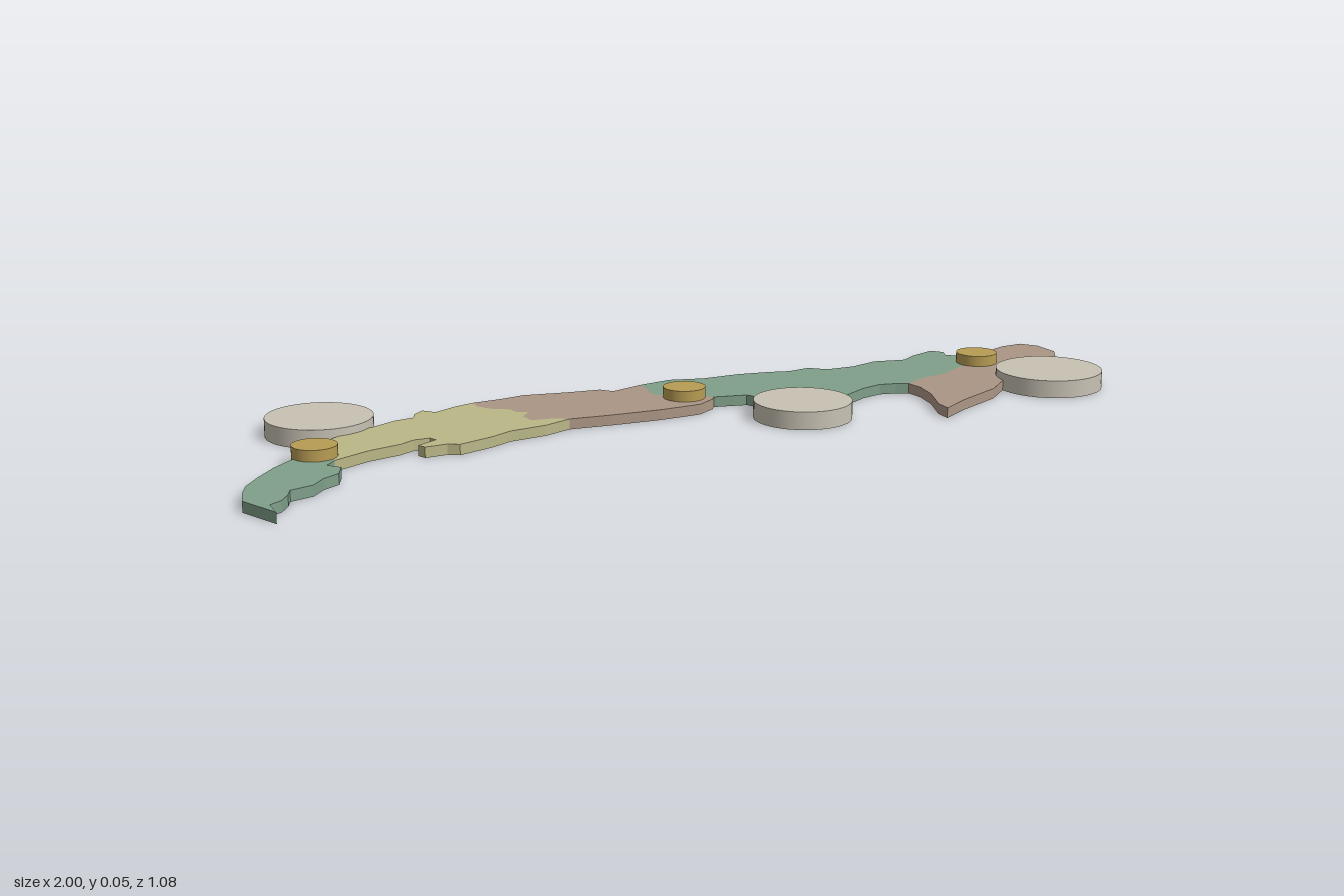
import * as THREE from 'three';

const material = (name, color) => {
  const m = new THREE.MeshStandardMaterial({ color });
  m.name = name;
  return m;
};

export function createModel() {
  const group = new THREE.Group();
  const green = material('sage green', 0x7f9f89);
  const olive = material('pale olive', 0xbab788);
  const tan = material('dusty tan', 0xab9685);
  const stone = material('stone grey', 0xc8c2b4);
  const gold = material('muted gold', 0xb89c54);

  // flat plate from an outline of x, z pairs in hundredths
  const plate = (name, mat, outline) => {
    const points = [];
    for (let i = 0; i < outline.length; i += 2) {
      points.push(new THREE.Vector2(outline[i] / 100, -outline[i + 1] / 100));
    }
    const geo = new THREE.ExtrudeGeometry(new THREE.Shape(points), { depth: 0.022, bevelEnabled: false });
    geo.rotateX(-Math.PI / 2);
    const mesh = new THREE.Mesh(geo, mat);
    mesh.name = name;
    group.add(mesh);
  };

  // upright disc standing on the ground
  const disc = (name, mat, x, z, radius, height) => {
    const mesh = new THREE.Mesh(new THREE.CylinderGeometry(radius, radius, height, 48), mat);
    mesh.position.set(x, height / 2, z);
    mesh.name = name;
    group.add(mesh);
  };

  // borders shared by neighbouring plates, listed from back to front
  const reversed = (a) => {
    const out = [];
    for (let i = a.length - 2; i >= 0; i -= 2) out.push(a[i], a[i + 1]);
    return out;
  };
  const borderAB = [-71, -29, -70, -24, -72, -19.5];
  const borderBC = [-45, -33.5, -46, -30, -44, -27, -43.3, -23, -45, -20.5, -49, -18.3];
  const borderCD = [-24.5, -32.5, -26, -30, -25.5, -26.5, -23, -23, -23.5, -20.5, -22, -18.5,
    -25, -17, -26, -13.5, -21.5, -11, -20, -8.5];
  const borderDE = [10.5, -17.5, 9, -14, 7, -11.5, 6.5, -8, 11, -5, 13.5, 1];
  const borderEF = [49, 3, 49.5, 5, 48.5, 8, 44.5, 12.5, 39, 14, 35, 17, 34, 20.5];
  const borderFG = [51, 24, 56, 23.2, 64, 24.3, 70, 23, 77, 23.5, 82, 21, 86, 18.7];

  // plates along the chain
  plate('westTipPlate', green, [-100, -1, -100, -11, -97, -15, -94, -18, -89, -21, -83, -24, -77, -26,
    ...borderAB, -75, -18, -74, -15, -77, -12, -81, -11.5, -85, -9.5, -90, -10, -92, -8, -95, -6, -98, -5.5]);
  plate('westPlate', olive, [...reversed(borderAB), -64, -32, -57, -33, -51, -33,
    ...borderBC, -52, -19.5, -56, -19, -63, -20]);
  plate('innerWestPlate', olive, [...reversed(borderBC), -41, -32.5, -39, -34.5, -36, -35.5, -35, -32.5, -29, -33,
    ...borderCD, -26.5, -8.5, -34.5, -10.5, -40, -10, -48, -10.5, -49.5, -12.5, -54, -14, -54, -16, -49, -16.5]);
  plate('centrePlate', tan, [...reversed(borderCD), -18, -30.5, -13, -29.5, -5, -24.5, 1.5, -21, 2.5, -18,
    ...borderDE, 12, 2, 7, 3, -2, 0, -12, -4.5]);
  plate('innerEastPlate', green, [...reversed(borderDE), 18, -16, 24, -11.5, 32, -8.5, 38, -5, 42, -2, 47, -1,
    ...borderEF, 29, 21, 24, 16, 20, 10, 19.5, 5]);
  plate('eastPlate', green, [...reversed(borderEF), 55, 5.5, 62, 6, 68, 10, 72, 9, 79, 9, 80, 12, 78, 14, 80, 17.5,
    ...reversed(borderFG), 49, 22, 46, 20, 41, 19.5]);
  plate('eastTipPlate', tan, [...borderFG, 94, 18.5, 99, 20, 100, 24, 98, 30, 94, 33, 88, 36, 76, 35, 68, 37,
    60, 40, 48, 41, 40, 42.5, 41.5, 39, 47, 33, 50, 28]);

  // large discs beside the chain
  disc('backDisc', stone, -0.57, -0.43, 0.11, 0.038);
  disc('middleDisc', stone, 0.2, 0.2, 0.103, 0.038);
  disc('frontDisc', stone, 0.778, 0.42, 0.115, 0.038);

  // small markers on the joints
  disc('westMarker', gold, -0.725, -0.249, 0.045, 0.045);
  disc('centreMarker', gold, 0.094, -0.037, 0.045, 0.045);
  disc('eastMarker', gold, 0.773, 0.23, 0.045, 0.045);

  return group;
}
